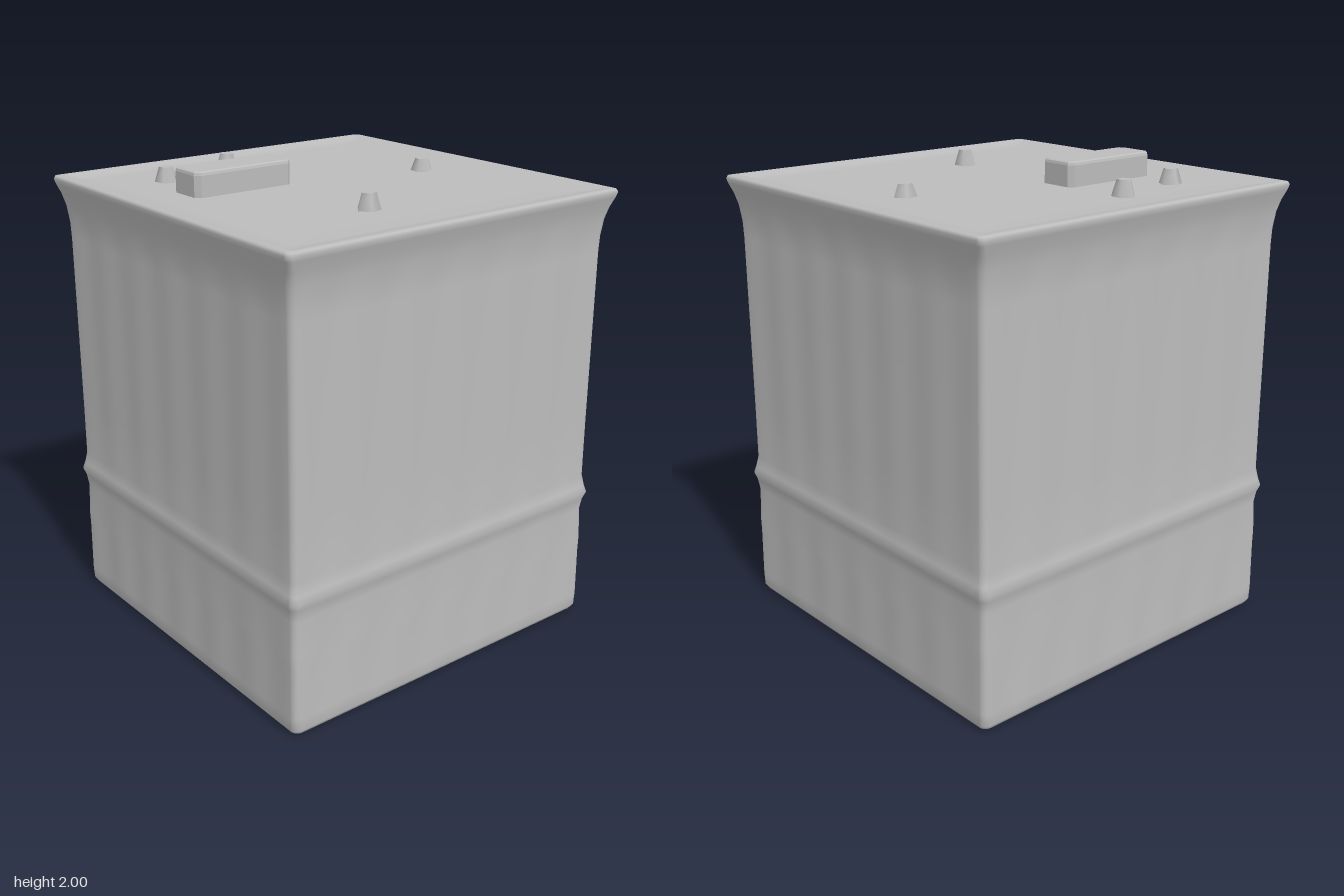
import * as THREE from 'three';

const grey = new THREE.MeshStandardMaterial({ color: 0xbcbcbc });
grey.name = 'plain grey';

// Rounded square outline; ripple gives the walls soft vertical ribs
function squareRing(half, radius, ripple) {
  const points = [], steps = 36, arc = 4, flat = half - radius;
  for (let side = 0; side < 4; side++) {
    const a = side * Math.PI / 2, c = Math.cos(a), s = Math.sin(a);
    const add = (u, v) => points.push([u * c + v * s, -u * s + v * c]);
    for (let i = 0; i <= steps; i++) {
      const t = i / steps;
      const rib = ripple * (Math.cos(t * Math.PI * 12) - 1) / 2;
      add(flat * (2 * t - 1), half + rib);
    }
    for (let k = 1; k < arc; k++) {
      const b = k / arc * Math.PI / 2;
      add(flat + radius * Math.sin(b), flat + radius * Math.cos(b));
    }
  }
  return points;
}

// Skin a stack of [height, half width, corner radius, ripple], closed at both ends
function loft(sections) {
  const position = [], index = [];
  let n = 0;
  for (const [y, half, radius, ripple = 0] of sections) {
    const ring = squareRing(half, radius, ripple);
    n = ring.length;
    ring.forEach(([x, z]) => position.push(x, y, z));
  }
  for (let r = 0; r < sections.length - 1; r++) {
    for (let i = 0; i < n; i++) {
      const a = r * n + i, b = r * n + (i + 1) % n;
      index.push(a, b, b + n, a, b + n, a + n);
    }
  }
  const last = (sections.length - 1) * n, low = position.length / 3;
  position.push(0, sections[0][0], 0, 0, sections[sections.length - 1][0], 0);
  for (let i = 0; i < n; i++) {
    const j = (i + 1) % n;
    index.push(low, j, i, low + 1, last + i, last + j);
  }
  const geometry = new THREE.BufferGeometry();
  geometry.setAttribute('position', new THREE.Float32BufferAttribute(position, 3));
  geometry.setIndex(index);
  geometry.computeVertexNormals();
  return geometry;
}

export function createModel() {
  const group = new THREE.Group();
  const add = (name, geometry, x = 0, y = 0, z = 0) => {
    const mesh = new THREE.Mesh(geometry, grey);
    mesh.name = name;
    mesh.position.set(x, y, z);
    group.add(mesh);
    return mesh;
  };

  // Walls with a belt course, a flared cornice and a shallow sunken roof
  add('building', loft([
    [0, 0.7, 0.03], [0, 0.765, 0.03], [0.006, 0.78, 0.03], [0.025, 0.792, 0.03],
    [0.08, 0.794, 0.03, 0.004], [0.3, 0.792, 0.03, 0.008], [0.36, 0.793, 0.03, 0.004],
    [0.5, 0.788, 0.03, 0.002], [0.55, 0.795, 0.03], [0.58, 0.805, 0.03],
    [0.61, 0.797, 0.03], [0.66, 0.788, 0.03, 0.003], [0.9, 0.787, 0.03, 0.006],
    [1.3, 0.787, 0.03, 0.006], [1.65, 0.787, 0.03, 0.005], [1.72, 0.789, 0.03, 0.003],
    [1.79, 0.797, 0.03], [1.84, 0.808, 0.025], [1.88, 0.822, 0.02], [1.9, 0.827, 0.02],
    [1.912, 0.822, 0.02], [1.915, 0.805, 0.02], [1.913, 0.79, 0.02],
    [1.902, 0.75, 0.02], [1.898, 0.7, 0.02], [1.898, 0.4, 0.02],
  ]));

  // Long rooftop unit with bevelled edges
  const w = 0.445, d = 0.155, bevel = 0.015;
  const plan = new THREE.Shape([
    [-w / 2 + 0.015, -d / 2], [w / 2 - 0.015, -d / 2], [w / 2, -d / 2 + 0.015], [w / 2, d / 2 - 0.015],
    [w / 2 - 0.015, d / 2], [-w / 2 + 0.015, d / 2], [-w / 2, d / 2 - 0.015], [-w / 2, -d / 2 + 0.015],
  ].map(([x, y]) => new THREE.Vector2(x, y)));
  const unit = new THREE.ExtrudeGeometry(plan, {
    depth: 0.1, bevelEnabled: true, bevelThickness: bevel, bevelSize: 0.01, bevelSegments: 2,
  });
  unit.rotateX(-Math.PI / 2);
  add('rooftopUnit', unit, -0.333, 1.885, -0.203);

  // Small tapered roof vents: x, z, top height, turn
  const vents = [[-0.48, -0.48, 1.96, 0.4], [-0.13, -0.555, 1.965, 0.75],
    [0.51, 0, 1.95, 0.2], [-0.16, 0.44, 1.965, 0.9]];
  for (const [x, z, top, turn] of vents) {
    const height = top - 1.89;
    const vent = add('roofVent', new THREE.CylinderGeometry(0.03, 0.052, height, 5), x, 1.89 + height / 2, z);
    vent.rotation.y = turn;
  }
  return group;
}
